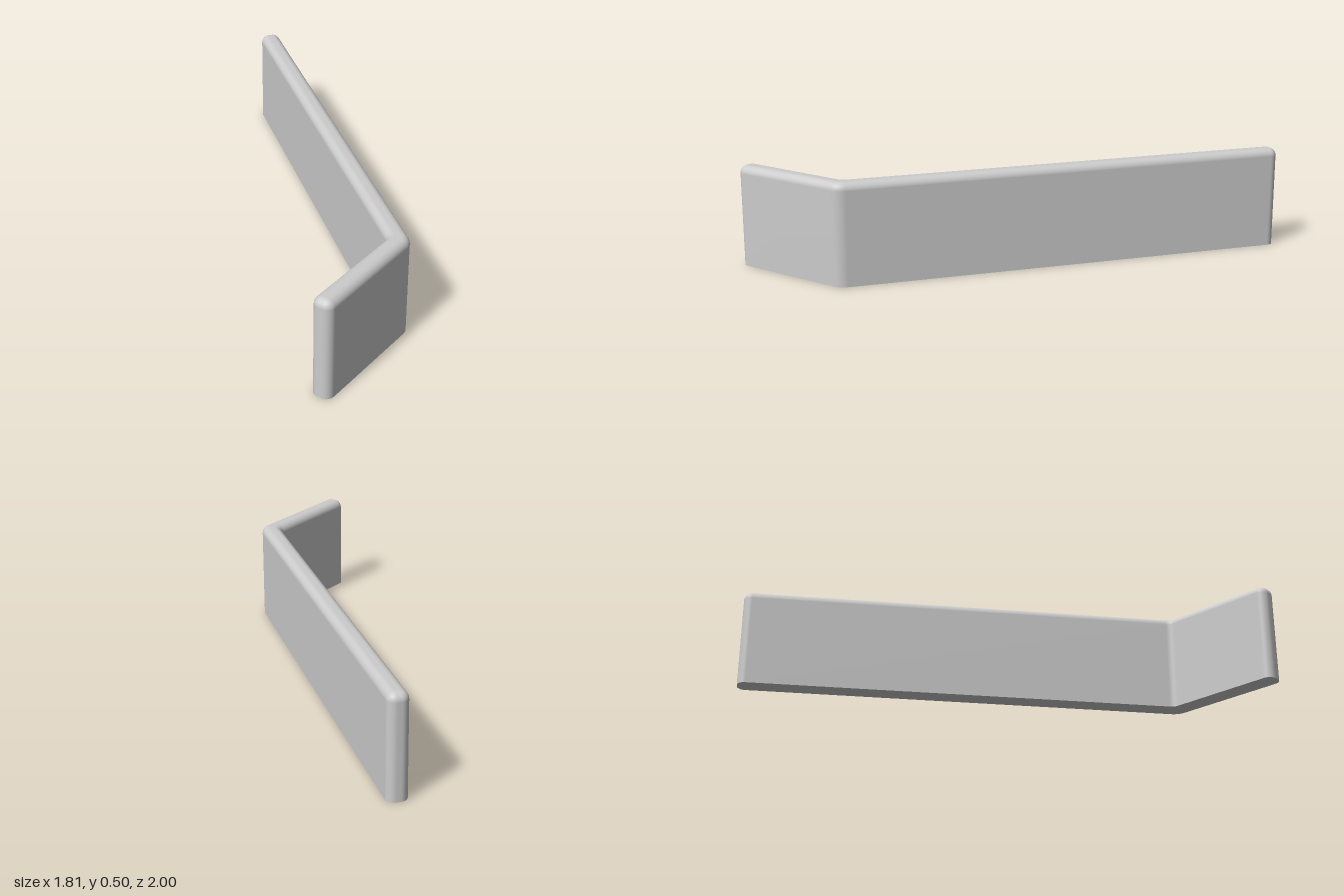
import * as THREE from 'three';

const HEIGHT = 0.5, HALF = 0.05, TOP_RADIUS = 0.038;

// Plan of the wall's centre line, as (x, z)
const PATH = [[-0.89, -0.977], [0.855, 0.395], [0.855, 1]].map(p => new THREE.Vector2(...p));

const outward = (a, b) => new THREE.Vector2(b.y - a.y, a.x - b.x).normalize();

// Sharp plan outline: centre line offset to both sides, mitred at the bend
function planCorners() {
  const [start, bend, end] = PATH;
  const n1 = outward(start, bend), n2 = outward(bend, end);
  const mitre = n1.clone().add(n2).divideScalar(1 + n1.dot(n2));
  const side = s => [[start, n1], [bend, mitre], [end, n2]]
    .map(([p, n]) => p.clone().addScaledVector(n, s * HALF));
  return [...side(1), ...side(-1).reverse()];
}

// Rounded plan outline, shrunk by inset; a negative radius is a concave corner
function planOutline(inset) {
  const corners = planCorners(), radii = [0.04, 0.08, 0.04, 0.04, -0.05, 0.04];
  const steps = 10, count = corners.length, points = [];
  corners.forEach((p, i) => {
    const n1 = outward(corners[(i + count - 1) % count], p);
    const n2 = outward(p, corners[(i + 1) % count]);
    const centre = p.clone().addScaledVector(n1.clone().add(n2), -radii[i] / (1 + n1.dot(n2)));
    const turn = Math.atan2(n1.cross(n2), n1.dot(n2));
    for (let k = 0; k <= steps; k++) {
      const n = n1.clone().rotateAround(new THREE.Vector2(), turn * k / steps);
      points.push(centre.clone().addScaledVector(n, radii[i] - inset));
    }
  });
  return points;
}

function buildGeometry(rings, faces) {
  const geometry = new THREE.BufferGeometry();
  const positions = rings.flatMap(({ points, y }) => points.flatMap(p => [p.x, y, p.y]));
  geometry.setAttribute('position', new THREE.Float32BufferAttribute(positions, 3));
  geometry.setIndex(faces);
  geometry.computeVertexNormals();
  return geometry;
}

export function createModel() {
  const group = new THREE.Group();
  group.name = 'bentWall';
  const material = new THREE.MeshStandardMaterial({ color: 0xcccccc });
  const add = (name, geometry) => {
    const mesh = new THREE.Mesh(geometry, material);
    mesh.name = name;
    group.add(mesh);
  };

  // Straight sides followed by the rounded top edge
  const base = { points: planOutline(0), y: 0 };
  const rings = [base];
  const bevelSteps = 8;
  for (let k = 0; k <= bevelSteps; k++) {
    const a = k / bevelSteps * Math.PI / 2;
    rings.push({
      points: planOutline(TOP_RADIUS * (1 - Math.cos(a))),
      y: HEIGHT - TOP_RADIUS * (1 - Math.sin(a)),
    });
  }
  const n = base.points.length, faces = [];
  for (let r = 0; r < rings.length - 1; r++) {
    for (let i = 0; i < n; i++) {
      const j = (i + 1) % n, a = r * n + i, b = r * n + j;
      faces.push(a, a + n, b, b, a + n, b + n);
    }
  }
  // Top strip shares the last ring, so the edge stays smooth
  const last = (rings.length - 1) * n;
  for (const [a, b, c] of THREE.ShapeUtils.triangulateShape(rings.at(-1).points.slice(), [])) {
    faces.push(last + a, last + c, last + b);
  }
  add('wall', buildGeometry(rings, faces));

  // Flat underside with a sharp edge
  add('underside', buildGeometry([base], THREE.ShapeUtils.triangulateShape(base.points.slice(), []).flat()));

  return group;
}
